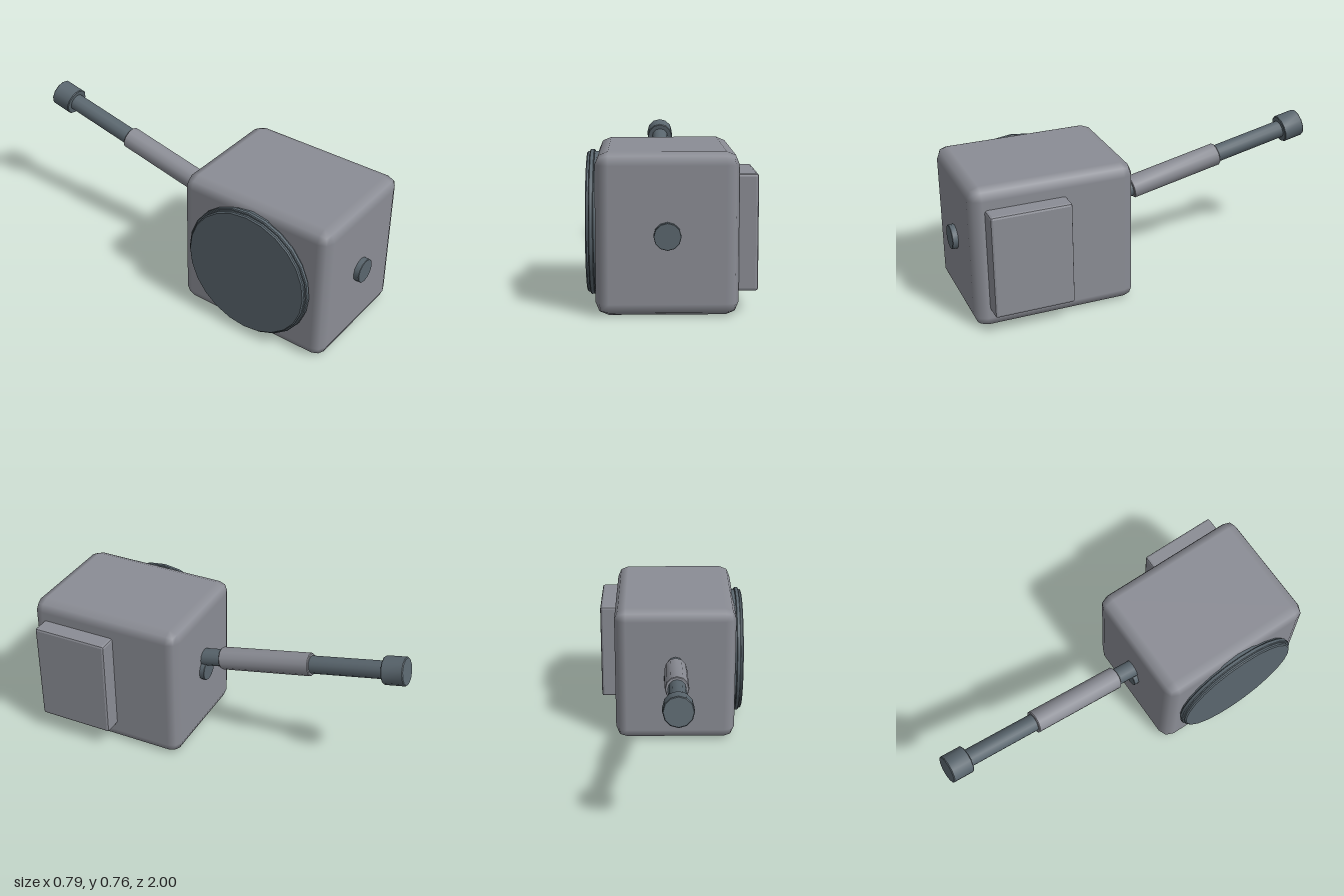
import * as THREE from 'three';
import { toCreasedNormals } from 'three/addons/utils/BufferGeometryUtils.js';
import { RoundedBoxGeometry } from 'three/addons/geometries/RoundedBoxGeometry.js';

const material = (name, color) => {
  const m = new THREE.MeshStandardMaterial({ color });
  m.name = name;
  return m;
};

export function createModel() {
  const grey = material('casing grey', 0x8b8d95);
  const steel = material('dark steel', 0x5a666e);
  const model = new THREE.Group();
  model.name = 'model';

  function add(name, geometry, mat) {
    const mesh = new THREE.Mesh(geometry, mat);
    mesh.name = name;
    model.add(mesh);
    return mesh;
  }

  // Solid rod between two points, with a small bevel on both rims
  function rod(name, from, to, radius, sides, bevel, mat) {
    const a = new THREE.Vector3(...from);
    const dir = new THREE.Vector3(...to).sub(a);
    const len = dir.length();
    const profile = [[0, 0], [radius - bevel, 0], [radius, bevel],
      [radius, len - bevel], [radius - bevel, len], [0, len]]
      .map(([x, y]) => new THREE.Vector2(x, y));
    const geometry = toCreasedNormals(new THREE.LatheGeometry(profile, sides), 0.6);
    const mesh = add(name, geometry, mat);
    mesh.position.copy(a);
    mesh.quaternion.setFromUnitVectors(new THREE.Vector3(0, 1, 0), dir.normalize());
    return mesh;
  }

  // Box with low-poly rounded edges; the flats sit at 0.905 of the radius
  function bevelBox(min, max, radius) {
    const pad = 2 * radius * (1 - 3 / Math.sqrt(11));
    const size = max.map((v, i) => v - min[i] + pad);
    const geometry = new RoundedBoxGeometry(...size, 1, radius);
    geometry.translate(...max.map((v, i) => (v + min[i]) / 2));
    return geometry;
  }

  // Casing with soft shading, and the hard-edged side panel
  add('casing', bevelBox([-0.343, 0, 0.13], [0.3, 0.74, 0.965], 0.06), grey);
  const panel = bevelBox([0.28, 0.1, 0.49], [0.395, 0.64, 0.9], 0.013);
  panel.computeVertexNormals();
  add('sidePanel', panel, grey);

  // Round cover on the right side, with a raised rim
  const coverY = 0.37, coverZ = 0.545;
  rod('roundCover', [-0.396, coverY, coverZ], [-0.33, coverY, coverZ], 0.34, 24, 0.006, steel);
  rod('coverRim', [-0.381, coverY, coverZ], [-0.358, coverY, coverZ], 0.351, 24, 0.004, steel);

  // Pivot buttons on the front and back
  const x = -0.022;
  rod('frontButton', [x, 0.37, 0.95], [x, 0.37, 1], 0.063, 12, 0.002, steel);
  rod('backButton', [x, 0.37, 0.15], [x, 0.37, 0.098], 0.063, 12, 0.002, steel);

  // Sloping arm: points are placed by z along one straight axis
  const onArm = (z) => [x, 0.466 + (0.013 - z) * 0.214, z];
  rod('armShaft', onArm(0.16), onArm(-0.9), 0.046, 12, 0.002, steel);
  rod('armSleeve', onArm(0.013), onArm(-0.487), 0.06, 12, 0.004, grey);
  rod('armKnob', onArm(-0.872), onArm(-0.984), 0.073, 12, 0.004, steel);

  return model;
}
